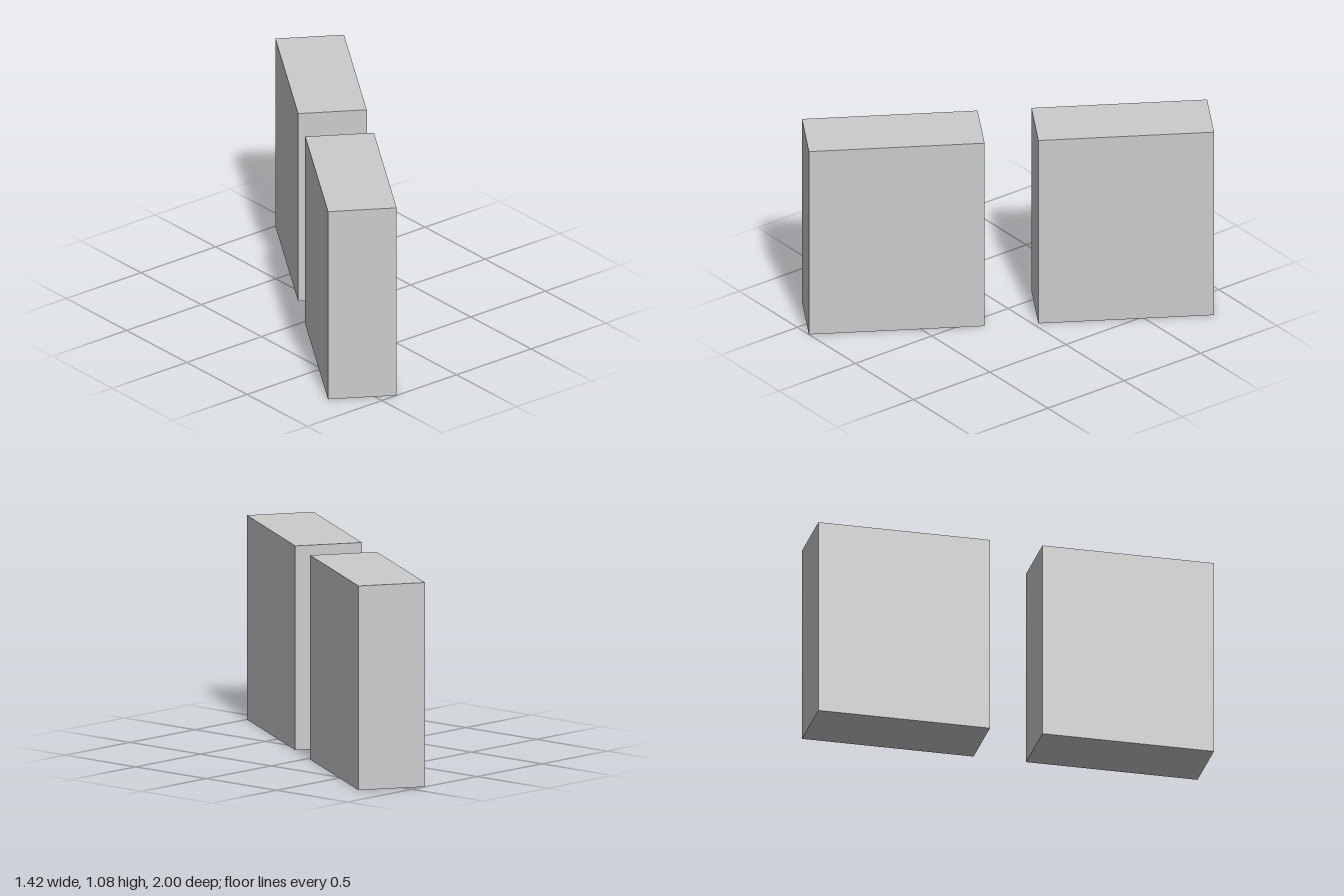
import * as THREE from 'three';

export function createModel() {
  const group = new THREE.Group();
  const material = new THREE.MeshStandardMaterial({ color: 0xcccccc, flatShading: true });
  const width = 0.361, height = 1.083, length = 0.921;
  const geometry = new THREE.BoxGeometry(width, height, length);

  // Two parallel upright slabs, half a turn apart about the centre
  for (const [name, side] of [['backSlab', 1], ['frontSlab', -1]]) {
    const slab = new THREE.Mesh(geometry, material);
    slab.name = name;
    slab.position.set(0.314 * side, height / 2, -0.513 * side);
    slab.rotation.y = -0.55;
    group.add(slab);
  }
  return group;
}
